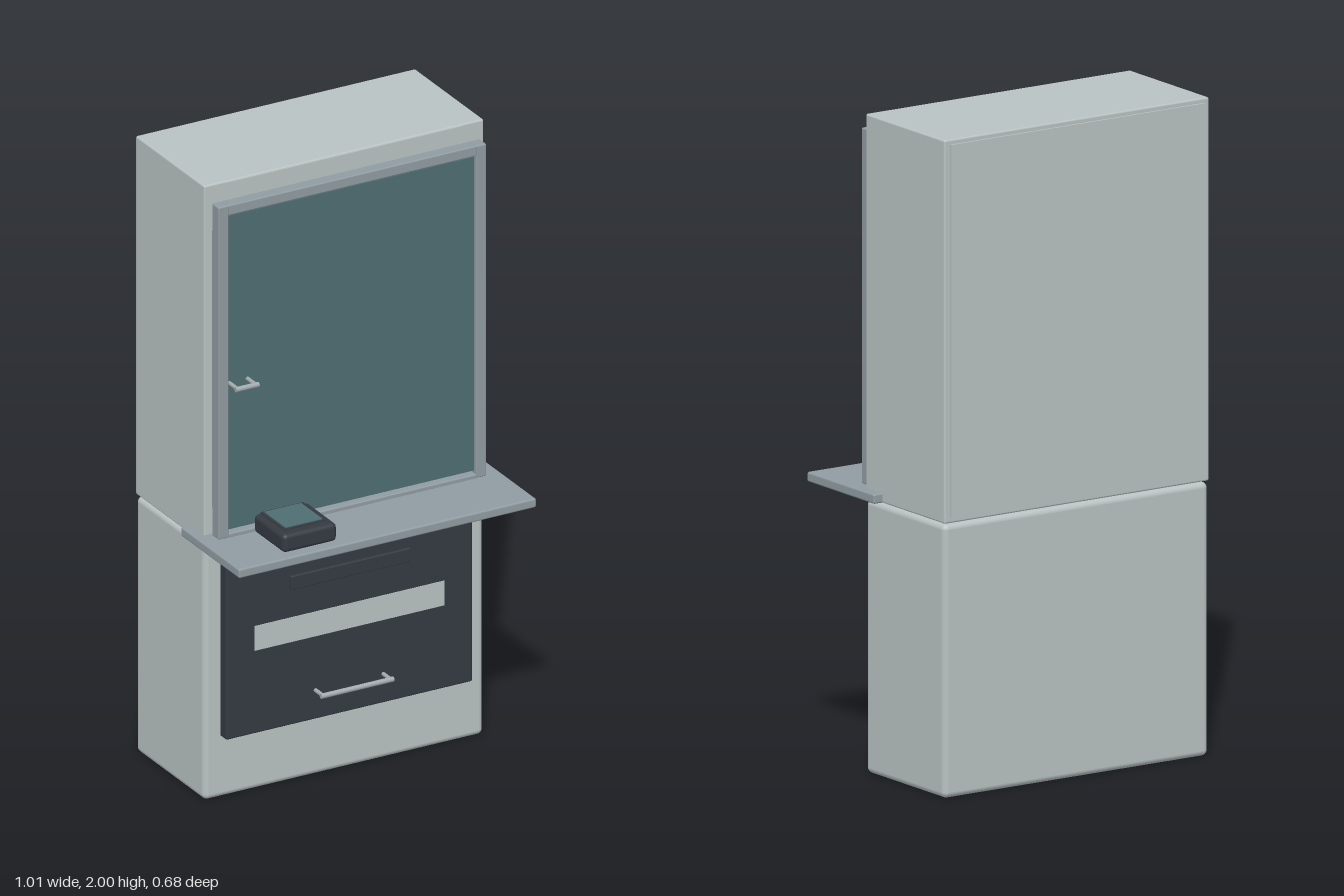
import * as THREE from 'three';
import { RoundedBoxGeometry } from 'three/addons/geometries/RoundedBoxGeometry.js';

const mat = (name, color) => {
  const m = new THREE.MeshStandardMaterial({ color });
  m.name = name;
  return m;
};

export function createModel() {
  const root = new THREE.Group();
  root.name = 'displayCabinet';
  const body = mat('paleGrey', 0xb9c2c2);
  const frame = mat('frameGrey', 0x909ca2);
  const dark = mat('charcoal', 0x353a42);
  const glass = mat('tealGlass', 0x4e6e72);
  const metal = mat('handleMetal', 0xa3abae);

  // Box given by its limits on each axis; r rounds the edges
  const box = (name, m, [x0, x1], [y0, y1], [z0, z1], r = 0) => {
    const s = [x1 - x0, y1 - y0, z1 - z0];
    const g = r ? new RoundedBoxGeometry(...s, 3, r) : new THREE.BoxGeometry(...s);
    const mesh = new THREE.Mesh(g, m);
    mesh.name = name;
    mesh.position.set((x0 + x1) / 2, (y0 + y1) / 2, (z0 + z1) / 2);
    root.add(mesh);
    return mesh;
  };

  // Horizontal bar handle standing off the surface on two posts
  const handle = (name, x0, x1, y, zBase, zBar, r) => {
    const g = new THREE.Group();
    g.name = name;
    const bar = new THREE.Mesh(new THREE.CylinderGeometry(r, r, x1 - x0, 16), metal);
    bar.name = 'handleBar';
    bar.rotation.z = Math.PI / 2;
    bar.position.set((x0 + x1) / 2, y, zBar);
    g.add(bar);
    for (const x of [x0 + r, x1 - r]) {
      const post = new THREE.Mesh(new THREE.CylinderGeometry(r * 0.8, r * 0.8, zBar - zBase, 12), metal);
      post.name = 'handlePost';
      post.rotation.x = Math.PI / 2;
      post.position.set(x, y, (zBase + zBar) / 2);
      g.add(post);
    }
    root.add(g);
  };

  // Cabinet bodies
  box('lowerCabinet', body, [-0.475, 0.475], [0, 0.831], [-0.333, 0.075], 0.018);
  box('upperCabinet', body, [-0.475, 0.475], [0.835, 2], [-0.334, 0.075], 0.006);
  box('backPanel', body, [-0.455, 0.455], [0.85, 1.985], [-0.34, -0.333]);
  box('headerPanel', body, [-0.4, 0.4], [1.9, 1.995], [0.07, 0.077]);

  // Small shelf clips on the cabinet front, behind the door
  for (const y of [1.02, 1.29, 1.56])
    for (const x of [-0.3, -0.115, 0.07, 0.255])
      box('shelfClip', dark, [x - 0.008, x + 0.008], [y - 0.03, y + 0.03], [0.074, 0.08]);

  // Framed glass door
  for (const s of [-1, 1]) {
    const stile = box('doorStile', frame, [-0.0175, 0.0175], [0.865, 1.945], [0.085, 0.125], 0.004);
    stile.position.x = s * 0.4375;
    box('doorHinge', frame, [s * 0.44 - 0.008, s * 0.44 + 0.008], [0.95, 1.85], [0.073, 0.087]);
  }
  box('topRail', frame, [-0.422, 0.422], [1.912, 1.945], [0.085, 0.125], 0.004);
  box('bottomRail', frame, [-0.422, 0.422], [0.862, 0.878], [0.085, 0.125], 0.004);
  box('doorGlass', glass, [-0.42, 0.42], [0.886, 1.905], [0.1, 0.113]);
  handle('doorHandle', -0.42, -0.342, 1.362, 0.113, 0.165, 0.008);

  // Counter shelf
  box('counter', frame, [-0.505, 0.505], [0.835, 0.865], [-0.012, 0.335], 0.006);

  // Counter terminal with its screen
  box('terminal', dark, [-0.335, -0.152], [0.863, 0.922], [0.122, 0.302], 0.014);
  box('terminalBezel', dark, [-0.315, -0.17], [0.915, 0.925], [0.128, 0.27]);
  box('terminalScreen', glass, [-0.306, -0.181], [0.922, 0.928], [0.136, 0.262]);

  // Lower front panel with slot, label strip and handle
  box('lowerPanel', dark, [-0.42, 0.416], [0.2, 0.795], [0.07, 0.11], 0.005);
  box('slotCover', dark, [-0.205, 0.202], [0.642, 0.686], [0.105, 0.119], 0.003);
  box('labelStrip', body, [-0.325, 0.32], [0.47, 0.55], [0.107, 0.112]);
  handle('drawerHandle', -0.125, 0.121, 0.294, 0.11, 0.156, 0.008);

  return root;
}
